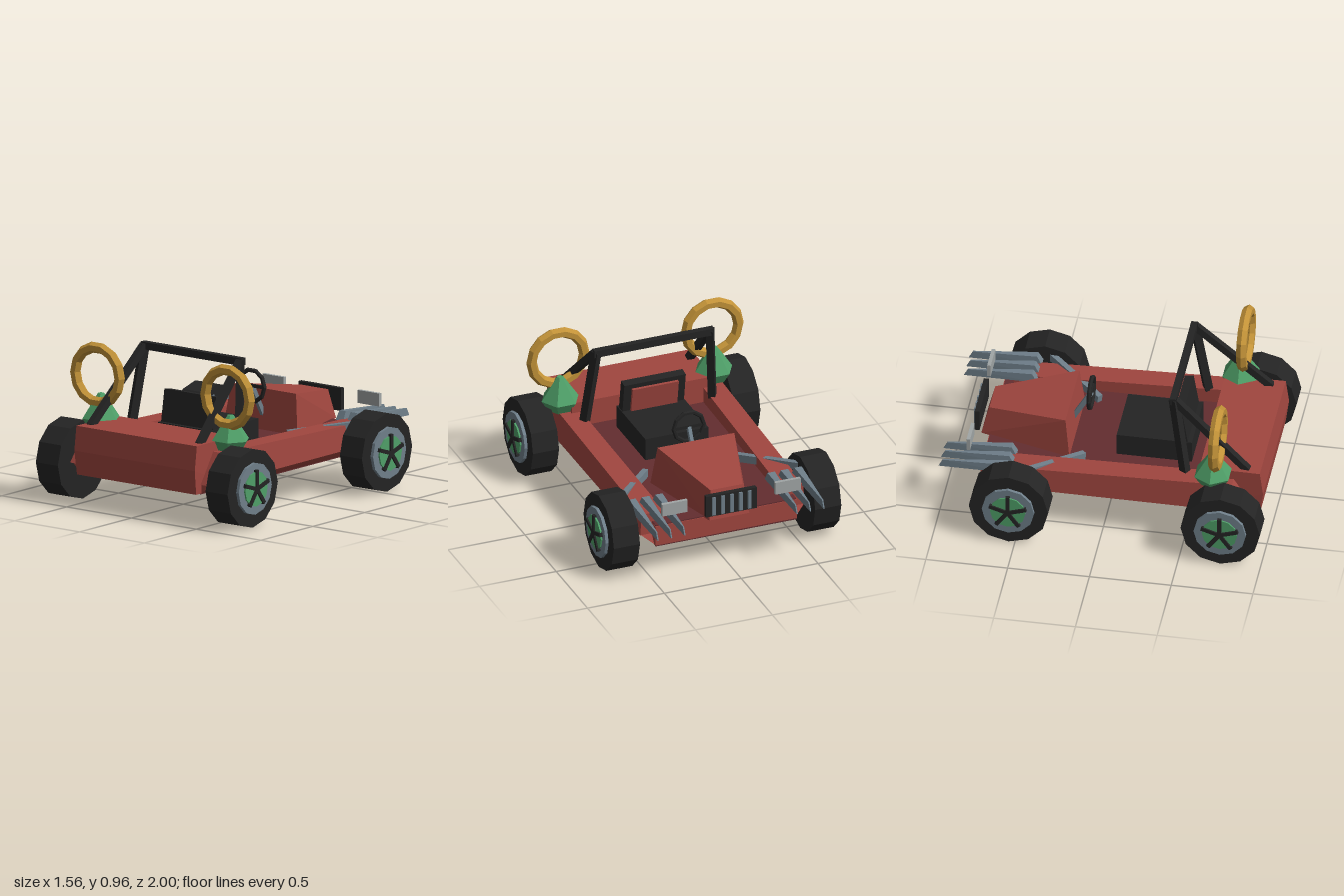
import * as THREE from 'three';
import { ConvexGeometry } from 'three/addons/geometries/ConvexGeometry.js';

const mat = (name, color) => {
  const m = new THREE.MeshStandardMaterial({ color, flatShading: true });
  m.name = name;
  return m;
};

export function createModel() {
  const red = mat('body red', 0xa0463f);
  const darkRed = mat('floor dark red', 0x632d30);
  const black = mat('black', 0x242424);
  const steel = mat('steel grey', 0x6f7f8a);
  const lamp = mat('lamp grey', 0xa0a5a5);
  const gold = mat('gold', 0xc29238);
  const green = mat('green', 0x4f9f68);

  const car = new THREE.Group();
  car.name = 'buggy';
  const V = (x, y, z) => new THREE.Vector3(x, y, z);

  const add = (name, geo, material, x = 0, y = 0, z = 0, parent = car) => {
    const m = new THREE.Mesh(geo, material);
    m.name = name;
    m.position.set(x, y, z);
    parent.add(m);
    return m;
  };
  const box = (name, w, h, d, material, x, y, z, parent) =>
    add(name, new THREE.BoxGeometry(w, h, d), material, x, y, z, parent);
  // convex solid from a list of corners
  const solid = (name, pts, material) =>
    add(name, new ConvexGeometry(pts.map((p) => V(...p))), material);
  // square bar from a to b
  const beam = (name, a, b, w, h, material) => {
    const p = V(...a), q = V(...b);
    const m = box(name, w, h, p.distanceTo(q), material, 0, 0, 0);
    m.position.copy(p).add(q).multiplyScalar(0.5);
    m.lookAt(q);
    return m;
  };
  // list of points mirrored in x
  const both = (pts) => pts.flatMap(([x, y, z]) => [[x, y, z], [-x, y, z]]);

  // Floor pan with dark inner floor
  box('floorPan', 0.92, 0.13, 1.4, red, 0, 0.265, -0.06);
  box('cockpitFloor', 0.915, 0.008, 1.39, darkRed, 0, 0.333, -0.06);
  box('underside', 0.915, 0.008, 1.66, darkRed, 0, 0.198, 0.07);

  // Rear deck
  solid('rearDeck', both([
    [0.46, 0.2, 0.58], [0.46, 0.5, 0.58], [0.465, 0.5, 0.95],
    [0.465, 0.35, 0.97], [0.46, 0.2, 0.95],
  ]), red);

  // Bonnet
  solid('bonnet', both([
    [0.13, 0.33, -0.81], [0.285, 0.33, -0.245],
    [0.105, 0.51, -0.765], [0.25, 0.585, -0.275],
  ]), red);

  // Grille with upright bars
  box('grille', 0.33, 0.14, 0.03, black, 0, 0.445, -0.83);
  for (let i = -2; i <= 2; i++) {
    box('grilleBar', 0.022, 0.12, 0.012, steel, i * 0.058, 0.445, -0.85);
  }

  // Seat with red padding
  box('seatCushion', 0.41, 0.15, 0.46, black, 0, 0.405, 0.26);
  const back = new THREE.Group();
  back.name = 'seatBack';
  back.position.set(0, 0.55, 0.425);
  back.rotation.x = -0.16;
  car.add(back);
  box('backrest', 0.4, 0.25, 0.055, black, 0, 0, 0, back);
  box('backrestPad', 0.3, 0.19, 0.02, red, 0, 0, -0.035, back);

  // Steering wheel and column
  add('steeringWheel', new THREE.TorusGeometry(0.098, 0.014, 6, 10), black, 0, 0.622, -0.16);
  beam('steeringColumn', [0, 0.62, -0.16], [0, 0.41, -0.28], 0.022, 0.03, steel);
  box('steeringSpoke', 0.18, 0.02, 0.012, black, 0, 0.622, -0.16);

  // Roll cage cross bar
  box('rollBarTop', 0.78, 0.045, 0.04, black, 0, 0.918, 0.405);

  for (const s of [1, -1]) {
    // Side pod, lower at the front, sloped at the tail
    solid('sidePod', [
      [0.38, 0.255, -0.7], [0.535, 0.255, -0.7], [0.38, 0.395, -0.7], [0.525, 0.395, -0.7],
      [0.4, 0.255, 0.91], [0.545, 0.255, 0.91], [0.4, 0.44, 0.79], [0.53, 0.44, 0.79],
    ].map(([x, y, z]) => [s * x, y, z]), red);
    // slanted sill under the pod
    solid('sill', [
      [0.44, 0.2, -0.74], [0.44, 0.2, 0.9], [0.46, 0.2, -0.74], [0.46, 0.2, 0.9],
      [0.44, 0.256, -0.7], [0.44, 0.256, 0.9], [0.53, 0.256, -0.7], [0.535, 0.256, 0.9],
    ].map(([x, y, z]) => [s * x, y, z]), red);

    // Headlamp
    box('headlamp', 0.165, 0.08, 0.022, lamp, s * 0.368, 0.48, -0.835);

    // Blade-shaped exhaust pipes
    for (const x of [0.365, 0.452, 0.54]) {
      solid('exhaustBlade', [
        [x - 0.03, 0.39, -0.55], [x + 0.03, 0.39, -0.55], [x - 0.024, 0.445, -0.58], [x + 0.024, 0.445, -0.58],
        [x - 0.004, 0.37, -1], [x + 0.004, 0.37, -1], [x - 0.004, 0.418, -0.975], [x + 0.004, 0.418, -0.975],
      ].map(([px, y, z]) => [s * px, y, z]), steel);
    }

    // Suspension arms
    beam('frontArm', [s * 0.28, 0.36, -0.155], [s * 0.62, 0.41, -0.54], 0.035, 0.05, steel);
    beam('rearArm', [s * 0.4, 0.32, 0.72], [s * 0.62, 0.235, 0.755], 0.05, 0.04, steel);

    // Roll cage post and brace
    beam('rollBarPost', [s * 0.37, 0.925, 0.41], [s * 0.415, 0.42, 0.485], 0.045, 0.05, black);
    beam('rollBarBrace', [s * 0.37, 0.92, 0.415], [s * 0.42, 0.49, 0.87], 0.042, 0.042, black);

    // Ring on a six-sided stand
    add('goldRing', new THREE.TorusGeometry(0.171, 0.034, 6, 14), gold, s * 0.502, 0.765, 0.7);
    const stand = [[0.02, 0.12, 0.15, 0.575], [0.12, 0.075, 0.07, 0.465]];
    for (const [rt, rb, h, y] of stand) {
      const cone = add('ringStand', new THREE.CylinderGeometry(rt, rb, h, 6), green, s * 0.5, y, 0.67);
      cone.rotation.y = Math.PI / 2;
    }

    // Wheels
    for (const z of [-0.54, 0.755]) {
      const wheel = new THREE.Group();
      wheel.name = z < 0 ? 'frontWheel' : 'rearWheel';
      wheel.position.set(s * 0.655, 0.245, z);
      if (s < 0) wheel.rotation.y = Math.PI;
      car.add(wheel);
      const disc = (name, r, w, x, m) => {
        const d = add(name, new THREE.CylinderGeometry(r, r, w, 12), m, x, 0, 0, wheel);
        d.rotation.z = -Math.PI / 2;
      };
      disc('tyre', 0.2425, 0.17, 0, black);
      disc('rim', 0.16, 0.03, 0.09, steel);
      disc('hubDisc', 0.108, 0.03, 0.1, green);
      for (let i = 0; i < 5; i++) {
        const spoke = new THREE.Group();
        spoke.name = 'spoke';
        spoke.rotation.x = (i * Math.PI * 2) / 5;
        wheel.add(spoke);
        box('spokeBar', 0.02, 0.118, 0.024, black, 0.115, 0.059, 0, spoke);
      }
    }
  }
  return car;
}
